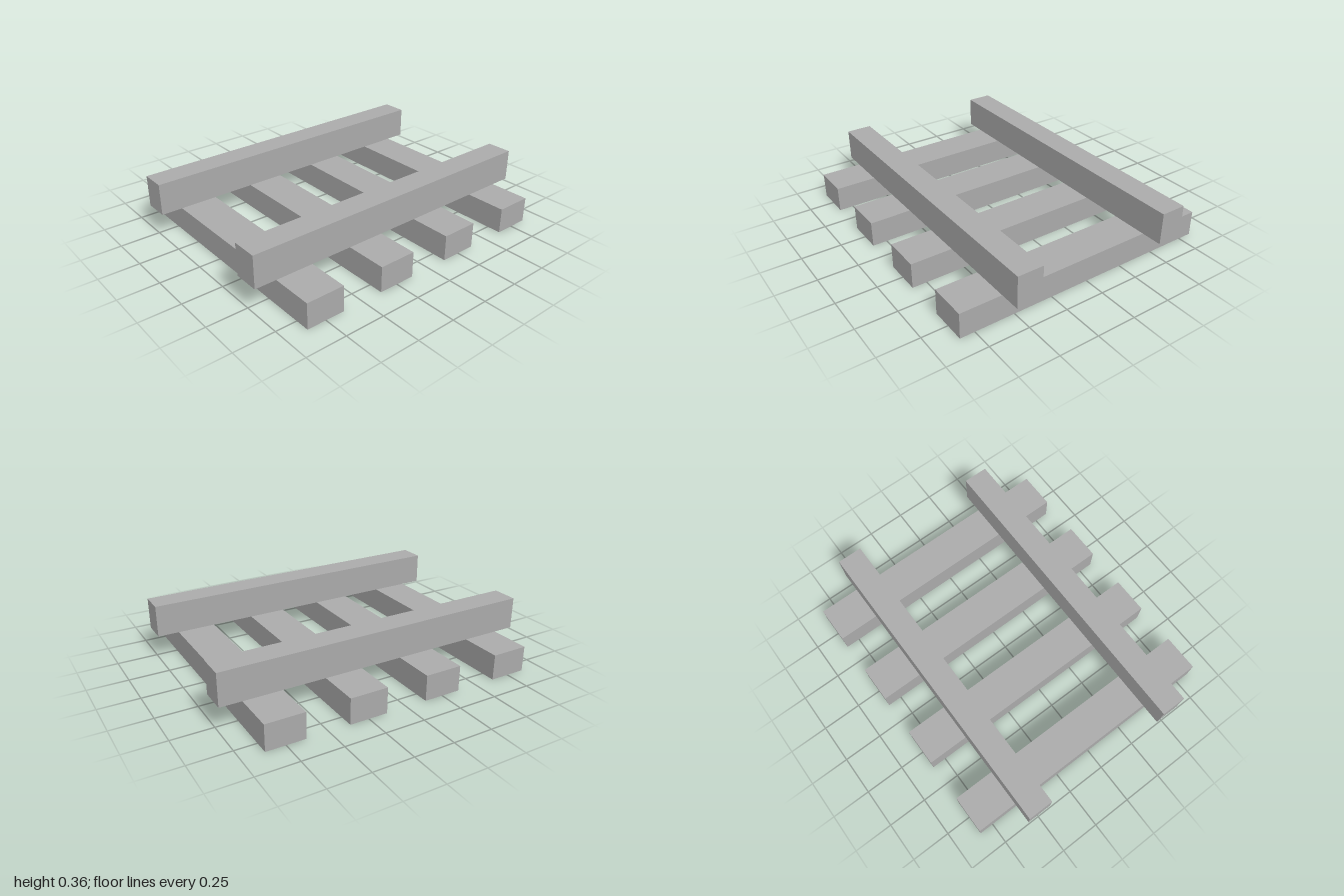
import * as THREE from 'three';

export function createModel() {
  const group = new THREE.Group();
  const grey = new THREE.MeshStandardMaterial({ color: 0xaaaaaa });
  grey.name = 'grey';

  const addBeam = (name, size, position) => {
    const mesh = new THREE.Mesh(new THREE.BoxGeometry(...size), grey);
    mesh.name = name;
    mesh.position.set(...position);
    group.add(mesh);
  };

  // four cross beams resting on the ground
  [-0.75, -0.25, 0.25, 0.75].forEach((z, i) =>
    addBeam(`crossBeam${i + 1}`, [1.68, 0.16, 0.236], [0, 0.08, z]));

  // two long rails lying across them
  addBeam('leftRail', [0.16, 0.2, 2], [0.5, 0.26, 0]);
  addBeam('rightRail', [0.16, 0.2, 2], [-0.5, 0.26, 0]);

  return group;
}
